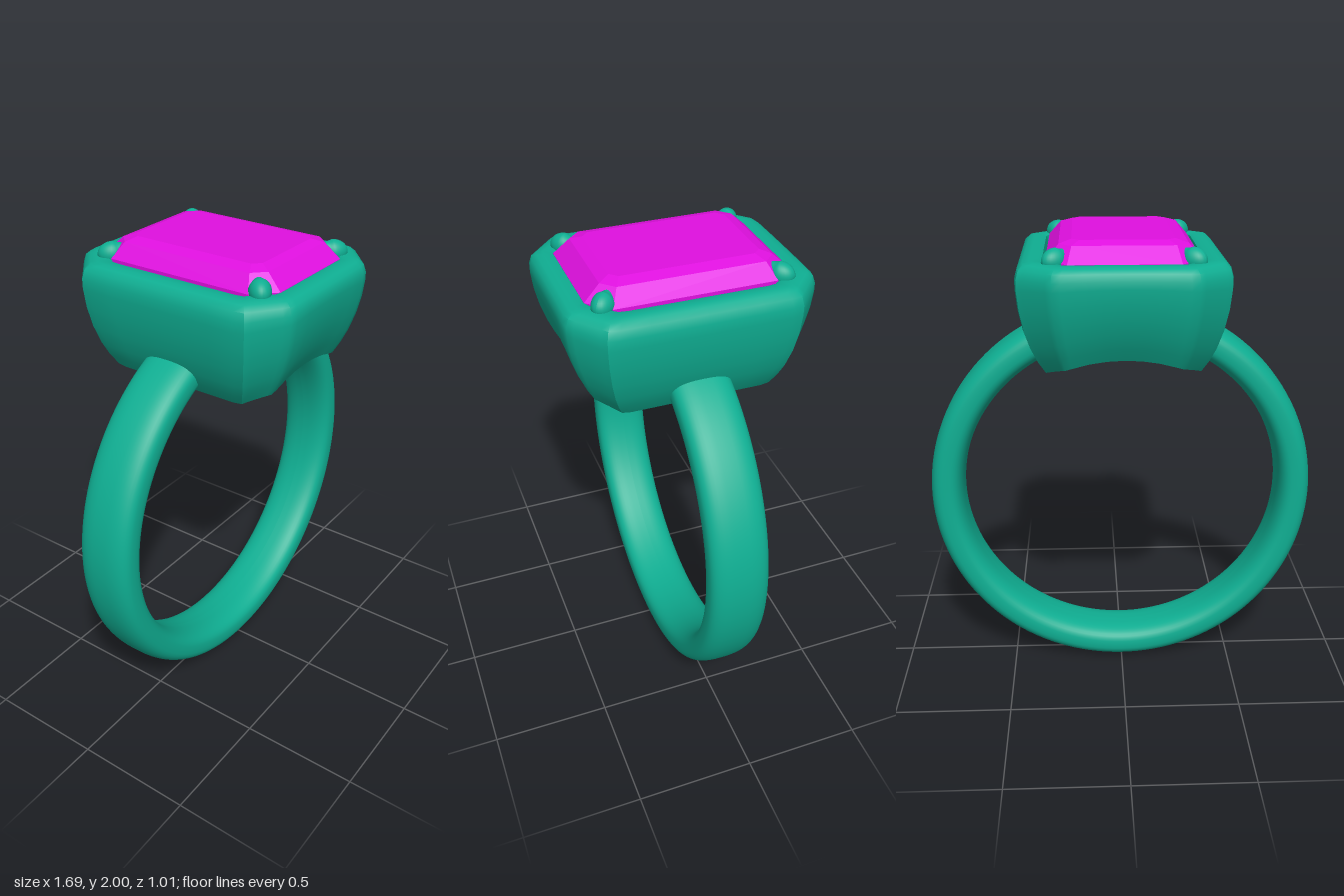
import * as THREE from 'three';
import { toCreasedNormals } from 'three/addons/utils/BufferGeometryUtils.js';
import { ConvexGeometry } from 'three/addons/geometries/ConvexGeometry.js';

const INNER = 0.70, OUTER = 0.845, CENTRE_Y = 0.85, RIM_Y = 1.925;

// Points around a rectangle with cut corners; steps are the fractions used on each side.
function octagon(hx, hz, cx, cz, steps) {
  const corners = [
    [hx, -hz + cz], [hx, hz - cz], [hx - cx, hz], [-hx + cx, hz],
    [-hx, hz - cz], [-hx, -hz + cz], [-hx + cx, -hz], [hx - cx, -hz],
  ];
  return corners.flatMap((a, i) => {
    const b = corners[(i + 1) % 8];
    return steps.map((t) => [a[0] + (b[0] - a[0]) * t, a[1] + (b[1] - a[1]) * t]);
  });
}

// Skin joining a closed loop of rings, each ring itself closed.
function loftLoop(rings) {
  const n = rings[0].length, m = rings.length, index = [];
  for (let j = 0; j < m; j++) {
    for (let i = 0; i < n; i++) {
      const k = (i + 1) % n, up = (j + 1) % m;
      const a = j * n + i, b = j * n + k, c = up * n + i, d = up * n + k;
      index.push(a, c, b, c, d, b);
    }
  }
  const geo = new THREE.BufferGeometry();
  geo.setAttribute('position', new THREE.Float32BufferAttribute(rings.flat(2), 3));
  geo.setIndex(index);
  return toCreasedNormals(geo, 0.62);
}

// Band: rounded section swept round the finger, open where the setting sits.
function bandGeometry() {
  const mid = (INNER + OUTER) / 2, hr = (OUTER - INNER) / 2, hz = 0.125, p = 2 / 2.7;
  const section = [];
  for (let i = 0; i <= 40; i++) {
    const a = -Math.PI + (i / 40) * Math.PI * 2;
    const c = Math.cos(a), s = Math.sin(a);
    section.push(new THREE.Vector2(
      mid + hr * Math.sign(c) * Math.abs(c) ** p,
      hz * Math.sign(s) * Math.abs(s) ** p));
  }
  const reach = THREE.MathUtils.degToRad(157);
  return new THREE.LatheGeometry(section, 120, -reach, reach * 2).rotateX(Math.PI / 2);
}

// Setting: hollow cut-corner cup whose underside follows the finger hole.
function settingGeometry() {
  // [inset from the widest outline, height from underside (0) to rim (1)]
  const profile = [
    [0.105, 0], [0.075, 0.14], [0.05, 0.28], [0.025, 0.46], [0.008, 0.64], [0, 0.8],
    [0, 0.88], [0.01, 0.95], [0.03, 0.988], [0.055, 1], [0.09, 1], [0.104, 0.985],
    [0.11, 0.9], [0.12, 0.8], [0.2, 0.55], [0.2, 0.42], [0.175, 0.2], [0.165, 0],
  ];
  const steps = [0.05, 0.2, 0.35, 0.5, 0.65, 0.8, 0.95];
  return loftLoop(profile.map(([d, h]) =>
    octagon(0.42 - d, 0.503 - d, 0.15 - 0.6 * d, 0.125 - 0.3 * d, steps).map(([x, z]) => {
      const under = CENTRE_Y + Math.sqrt(INNER * INNER - x * x);
      return [x, under + h * (RIM_Y - under), z];
    })));
}

// Gem: step-cut stone, [half x, half z, corner cut, y] from table to keel.
function gemGeometry() {
  const tiers = [
    [0.20, 0.30, 0.03, 2.0], [0.25, 0.345, 0.05, 1.985], [0.302, 0.41, 0.085, 1.925],
    [0.302, 0.41, 0.085, 1.9], [0.22, 0.32, 0.06, 1.78], [0.03, 0.13, 0.015, 1.62],
  ];
  return new ConvexGeometry(tiers.flatMap(([hx, hz, c, y]) =>
    octagon(hx, hz, c, c, [0]).map(([x, z]) => new THREE.Vector3(x, y, z))));
}

// Prong: teardrop claw pointing along +x.
function prongGeometry() {
  const geo = new THREE.SphereGeometry(1, 28, 20);
  const pos = geo.attributes.position;
  for (let i = 0; i < pos.count; i++) {
    const x = pos.getX(i), f = Math.max(x, 0), taper = 1 - 0.55 * f;
    pos.setXYZ(i, x * 0.064, pos.getY(i) * 0.05 * taper + 0.045 * f * f, pos.getZ(i) * 0.044 * taper);
  }
  geo.computeVertexNormals();
  return geo;
}

export function createModel() {
  const model = new THREE.Group();
  model.name = 'ring';
  const metal = new THREE.MeshStandardMaterial({ color: 0x0fae92, side: THREE.DoubleSide });
  const stone = new THREE.MeshStandardMaterial({ color: 0xe010e0, flatShading: true });
  const add = (name, geometry, material) => {
    const mesh = new THREE.Mesh(geometry, material);
    mesh.name = name;
    model.add(mesh);
    return mesh;
  };

  add('band', bandGeometry(), metal).position.y = CENTRE_Y;
  add('setting', settingGeometry(), metal);
  add('gem', gemGeometry(), stone);

  // Four prongs leaning in over the corners of the gem
  const claw = prongGeometry();
  for (const sx of [-1, 1]) {
    for (const sz of [-1, 1]) {
      const name = (sz > 0 ? 'front' : 'back') + (sx > 0 ? 'Left' : 'Right') + 'Prong';
      const prong = add(name, claw, metal);
      prong.position.set(sx * 0.26, 1.93, sz * 0.348);
      prong.rotation.y = Math.atan2(sz * 0.7, -sx * 0.75);
    }
  }
  return model;
}
